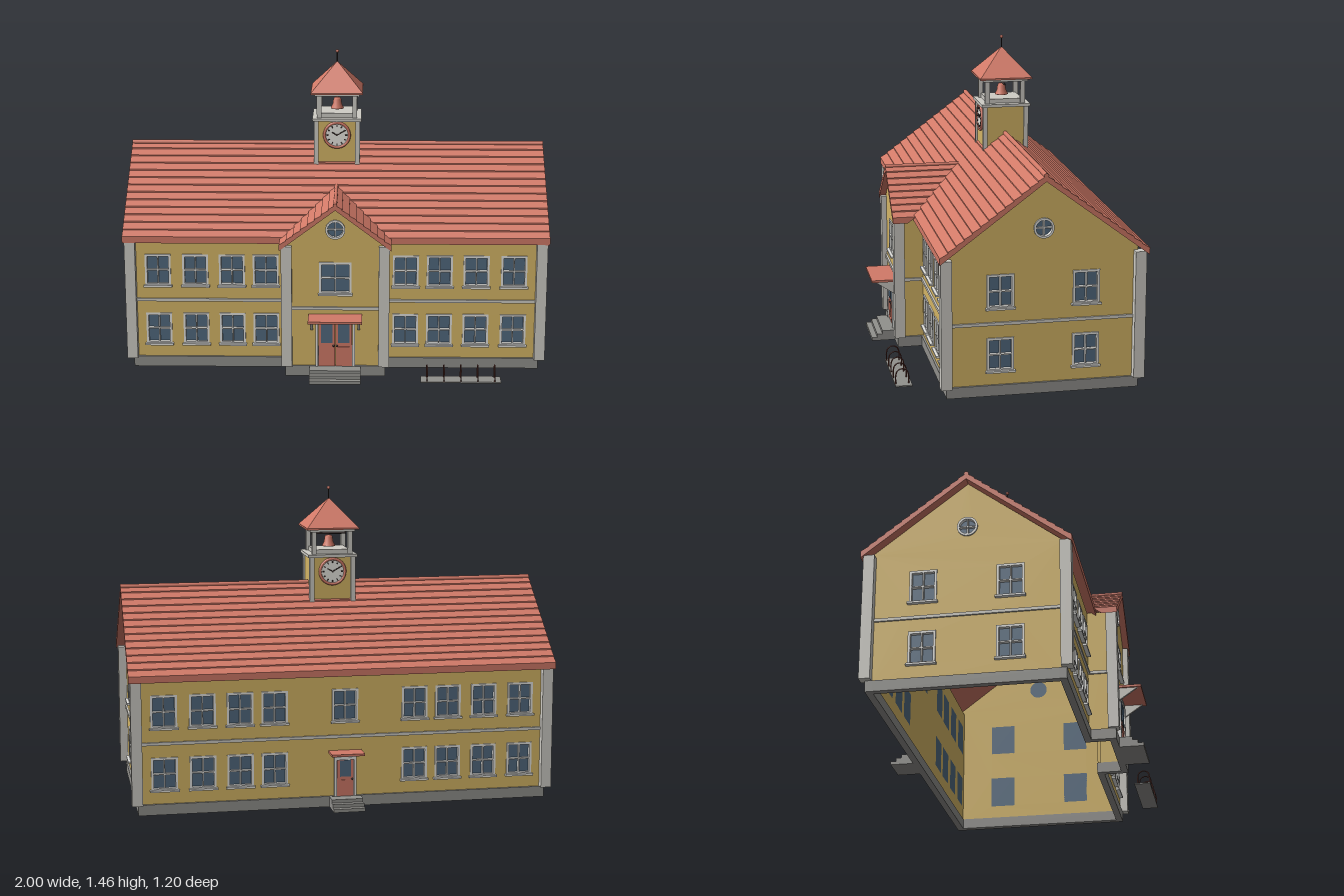
import * as THREE from 'three';

const mat = (name, color) => Object.assign(new THREE.MeshStandardMaterial({ color }), { name });

export function createModel() {
  const M = {
    wall: mat('ochre wall', 0xd6b766), roof: mat('red tile', 0xd27a68), trim: mat('pale trim', 0xcfcdc6),
    stone: mat('grey stone', 0x92918d), glass: mat('blue glass', 0x51697f), frame: mat('white frame', 0xe2e2df),
    dial: mat('clock face', 0xf2f0ea), dark: mat('dark iron', 0x3a302e), rack: mat('rack brown', 0x6a3a32),
  };
  const root = new THREE.Group();
  root.name = 'schoolhouse';
  const CZ = -0.06, SLOPE = 0.749, RIDGE = 1.0;

  const add = (parent, name, geo, m, x = 0, y = 0, z = 0) => {
    const mesh = new THREE.Mesh(geo, m);
    mesh.name = name;
    mesh.position.set(x, y, z);
    parent.add(mesh);
    return mesh;
  };
  const box = (p, name, m, w, h, d, x, y, z) => add(p, name, new THREE.BoxGeometry(w, h, d), m, x, y, z);
  const group = (p, name, x = 0, y = 0, z = 0, ry = 0) => {
    const g = new THREE.Group();
    g.name = name;
    g.position.set(x, y, z);
    g.rotation.y = ry;
    p.add(g);
    return g;
  };
  const poly = (pts) => new THREE.Shape(pts.map(([x, y]) => new THREE.Vector2(x, y)));
  const rect = (x, y, w, h) => poly([[x - w / 2, y - h / 2], [x + w / 2, y - h / 2], [x + w / 2, y + h / 2], [x - w / 2, y + h / 2]]);
  const disc = (x, y, r) => new THREE.Shape().absarc(x, y, r, 0, Math.PI * 2, false);
  const extrude = (shape, depth) => new THREE.ExtrudeGeometry(shape, { depth, bevelEnabled: false, curveSegments: 16 });
  const rod = (r, len) => new THREE.CylinderGeometry(r, r, len, 12);

  // Four-pane window with sill; local z = 0 is the wall's outer face
  function squareWindow(p, x, y, w, h) {
    const g = group(p, 'window', x, y, 0);
    const f = rect(0, 0, w, h), pw = w / 2 - 0.014, ph = h / 2 - 0.014;
    for (const sx of [-1, 1]) for (const sy of [-1, 1])
      f.holes.push(rect(sx * (pw / 2 + 0.003), sy * (ph / 2 + 0.003), pw, ph));
    add(g, 'windowFrame', extrude(f, 0.018), M.frame, 0, 0, -0.012);
    box(g, 'windowPane', M.glass, w, h, 0.008, 0, 0, -0.016);
    box(g, 'windowSill', M.frame, w + 0.012, 0.009, 0.022, 0, -h / 2, 0.008);
  }
  function roundWindow(p, x, y) {
    const g = group(p, 'roundWindow', x, y, 0);
    const ring = disc(0, 0, 0.046);
    ring.holes.push(disc(0, 0, 0.036));
    add(g, 'roundFrame', extrude(ring, 0.02), M.frame, 0, 0, -0.012);
    add(g, 'roundPane', extrude(disc(0, 0, 0.045), 0.008), M.glass, 0, 0, -0.02);
    box(g, 'roundBar', M.frame, 0.076, 0.006, 0.016, 0, 0, -0.005);
    box(g, 'roundBar', M.frame, 0.006, 0.076, 0.016, 0, 0, -0.005);
  }
  // Wall panel with window holes, floor band and stone plinth
  function facade(name, pos, ry, outline, windows = [], round = null, x0 = outline[0][0], x1 = outline[1][0]) {
    const g = group(root, name, pos[0], 0, pos[1], ry);
    const s = poly(outline);
    for (const [x, y, w, h] of windows) {
      s.holes.push(rect(x, y, w - 0.004, h - 0.004));
      squareWindow(g, x, y, w, h);
    }
    if (round) {
      s.holes.push(disc(0, round, 0.044));
      roundWindow(g, 0, round);
    }
    add(g, 'wall', extrude(s, 0.02), M.wall, 0, 0, -0.02);
    box(g, 'floorBand', M.trim, x1 - x0, 0.014, 0.012, (x0 + x1) / 2, 0.333, 0.003);
    box(g, 'plinth', M.stone, x1 - x0 + 0.02, 0.05, 0.032, (x0 + x1) / 2, 0.025, -0.006);
    return g;
  }
  const UP = 0.48, LOW = 0.19, WH = 0.155;
  const cols = [0.33, 0.49, 0.663, 0.84];
  const bays = (sign, off = 0) => cols.flatMap((x) => [[sign * x - off, UP, 0.122, WH], [sign * x - off, LOW, 0.122, WH]]);
  const W = 0.953, D = 0.425, EAVE = 0.64;

  // Main walls
  facade('frontWallLeft', [0, CZ + D], 0, [[0.215, 0.01], [W, 0.01], [W, EAVE], [0.215, EAVE]], bays(1));
  facade('frontWallRight', [0, CZ + D], 0, [[-W, 0.01], [-0.215, 0.01], [-0.215, EAVE], [-W, EAVE]], bays(-1));
  const back = facade('backWall', [0, CZ - D], Math.PI, [[-W, 0.01], [W, 0.01], [W, EAVE], [-W, EAVE]],
    [...bays(1), ...bays(-1), [0, UP, 0.122, WH]]);
  const gable = [[-D, 0.01], [D, 0.01], [D, 0.652], [0, 0.972], [-D, 0.652]];
  for (const s of [-1, 1])
    facade('gableWall', [s * W, CZ], s * Math.PI / 2, gable,
      [-0.193, 0.193].flatMap((x) => [[x, UP, 0.122, WH], [x, LOW, 0.122, WH]]), 0.757);

  // Projecting entrance bay
  const PZ = 0.48, PX = 0.225;
  const front = facade('entranceWall', [0, PZ], 0, [[-PX, 0.01], [PX, 0.01], [PX, 0.64], [0, 0.812], [-PX, 0.64]],
    [[0, UP, 0.15, WH]], 0.715);
  for (const s of [-1, 1])
    facade('entranceSide', [s * PX, 0.42], s * Math.PI / 2, [[-0.06, 0.01], [0.06, 0.01], [0.06, EAVE], [-0.06, EAVE]]);

  // Corner pilasters
  for (const s of [-1, 1])
    for (const [x, z] of [[0.967, 0.378], [0.967, -0.492], [0.227, 0.48]])
      box(root, 'cornerPilaster', M.trim, 0.05, 0.587, 0.05, s * x, 0.3435, z);

  // Stepped tile roof profile, ridge along z
  function tileProfile(half, ridge, slope, rows, thick) {
    const side = [];
    for (let i = 0; i < rows; i++) {
      const a = (half * i) / rows, b = (half * (i + 1)) / rows;
      side.push([a, ridge - a * slope], [b, ridge - b * slope + 0.006]);
    }
    side.push([half, ridge - half * slope - thick]);
    const left = side.slice(1).reverse().map(([x, y]) => [-x, y]);
    return poly([...left, ...side, [0, ridge - thick]].reverse());
  }
  const mainRoof = add(root, 'mainRoof', extrude(tileProfile(0.468, RIDGE, SLOPE, 13, 0.026), 2), M.roof, -1, 0, CZ);
  mainRoof.rotation.y = Math.PI / 2;
  const cap = add(root, 'ridgeCap', rod(0.011, 2), M.roof, 0, RIDGE, CZ);
  cap.rotation.z = Math.PI / 2;

  // Entrance roof, its rear cut to the slope of the main roof
  const porchGeo = extrude(tileProfile(0.26, 0.838, 0.75, 8, 0.024), 0.51);
  const pos = porchGeo.attributes.position;
  for (let i = 0; i < pos.count; i++)
    if (pos.getZ(i) < 0.01) pos.setZ(i, CZ + (RIDGE - pos.getY(i)) / SLOPE - 0.01);
  porchGeo.computeVertexNormals();
  add(root, 'entranceRoof', porchGeo, M.roof);
  add(root, 'entranceRidgeCap', rod(0.009, 0.36), M.roof, 0, 0.838, 0.33).rotation.x = Math.PI / 2;

  // Doors, canopies and steps
  function doorway(p, leaves, leafW, h, canopyW, canopyD, canopyY, stepW, stepD) {
    const g = group(p, 'doorway');
    const w = leaves * leafW, y0 = 0.05;
    for (const s of [-1, 1]) box(g, 'doorJamb', M.frame, 0.012, h, 0.02, s * (w / 2 + 0.006), y0 + h / 2, 0.008);
    box(g, 'doorLintel', M.frame, w + 0.024, 0.014, 0.02, 0, y0 + h, 0.008);
    for (let i = 0; i < leaves; i++) {
      const x = (i - (leaves - 1) / 2) * leafW;
      box(g, 'doorLeaf', M.roof, leafW - 0.003, h, 0.012, x, y0 + h / 2, 0.005);
      box(g, 'doorPane', M.glass, leafW * 0.66, h * 0.43, 0.006, x, y0 + h * 0.73, 0.011);
      box(g, 'doorPanel', M.roof, leafW * 0.66, h * 0.32, 0.006, x, y0 + h * 0.27, 0.011);
      add(g, 'doorKnob', new THREE.SphereGeometry(0.005, 10, 8), M.dark, x + (i ? -1 : 1) * leafW * 0.4, y0 + h * 0.45, 0.015);
    }
    box(g, 'canopy', M.roof, canopyW, 0.011, canopyD, 0, canopyY, canopyD / 2);
    for (let i = 0; i < 3; i++) {
      const d = stepD - i * 0.026;
      box(g, 'step', M.stone, stepW, 0.016, d, 0, 0.008 + i * 0.016, d / 2);
    }
    return g;
  }
  const entry = doorway(front, 2, 0.08, 0.225, 0.25, 0.118, 0.299, 0.24, 0.122);
  for (const s of [-1, 1]) {
    const b = add(entry, 'canopyBracket', extrude(poly([[0, 0.293], [0, 0.225], [0.1, 0.293]]), 0.012), M.trim, s * 0.11 - 0.006);
    b.rotation.y = -Math.PI / 2;
    b.position.x += 0.012;
  }
  doorway(back, 1, 0.08, 0.18, 0.155, 0.088, 0.261, 0.148, 0.118);

  // Clock tower
  const tower = group(root, 'clockTower', 0, 0, CZ);
  box(tower, 'towerBody', M.wall, 0.2, 0.25, 0.2, 0, 1.005, 0);
  box(tower, 'towerCornice', M.trim, 0.236, 0.014, 0.236, 0, 1.137, 0);
  box(tower, 'belfryFloor', M.trim, 0.17, 0.021, 0.17, 0, 1.154, 0);
  box(tower, 'belfryBeam', M.trim, 0.216, 0.013, 0.216, 0, 1.257, 0);
  for (const sx of [-1, 1]) for (const sz of [-1, 1]) {
    box(tower, 'towerCorner', M.trim, 0.022, 0.25, 0.022, sx * 0.099, 1.005, sz * 0.099);
    box(tower, 'belfryPost', M.trim, 0.022, 0.112, 0.022, sx * 0.086, 1.197, sz * 0.086);
  }
  const pyramid = new THREE.ConeGeometry(0.125 * Math.SQRT2, 0.135, 4).rotateY(Math.PI / 4).toNonIndexed();
  pyramid.computeVertexNormals();
  add(tower, 'towerRoof', pyramid, M.roof, 0, 1.3365, 0);
  box(tower, 'towerEave', M.roof, 0.25, 0.008, 0.25, 0, 1.266, 0);
  add(tower, 'finialRod', rod(0.003, 0.07), M.dark, 0, 1.42, 0);
  add(tower, 'finialBall', new THREE.SphereGeometry(0.008, 12, 8), M.roof, 0, 1.452, 0);
  // Bell on its crossbar
  const bell = [[0, 0.055], [0.014, 0.053], [0.019, 0.044], [0.022, 0.022], [0.032, 0.002], [0.03, 0], [0, 0.006]];
  add(tower, 'bell', new THREE.LatheGeometry(bell.map(([x, y]) => new THREE.Vector2(x, y)).reverse(), 24), M.roof, 0, 1.172, 0);
  add(tower, 'bellBar', rod(0.005, 0.17), M.dark, 0, 1.234, 0).rotation.z = Math.PI / 2;
  // Clocks front and back
  for (const s of [1, -1]) {
    const c = group(tower, 'clock', 0, 1.062, s * 0.1, s > 0 ? 0 : Math.PI);
    add(c, 'clockFace', extrude(disc(0, 0, 0.06), 0.008), M.dial);
    add(c, 'clockRim', new THREE.TorusGeometry(0.06, 0.007, 8, 32), M.roof, 0, 0, 0.006);
    const bar = (name, a, w, r0, r1) => {
      const r = (r0 + r1) / 2;
      box(c, name, M.dark, w, r1 - r0, 0.004, Math.sin(a) * r, Math.cos(a) * r, 0.01).rotation.z = -a;
    };
    for (let i = 0; i < 12; i++) bar('hourMark', (i * Math.PI) / 6, 0.005, 0.04, 0.05);
    bar('hourHand', -Math.PI / 3, 0.006, -0.004, 0.028);
    bar('minuteHand', Math.PI / 3, 0.005, -0.004, 0.04);
  }

  // Bicycle rack
  const rack = group(root, 'bicycleRack', 0.588, 0, 0.537);
  box(rack, 'rackSlab', M.stone, 0.375, 0.006, 0.077, 0, 0.003, 0);
  const hoop = new THREE.CurvePath();
  const arc = [[-0.029, 0.004], [-0.029, 0.045], [-0.021, 0.067], [0, 0.076], [0.021, 0.067], [0.029, 0.045], [0.029, 0.004]];
  const path = new THREE.CatmullRomCurve3(arc.map(([z, y]) => new THREE.Vector3(0, y, z)));
  for (let i = -2; i <= 2; i++) add(rack, 'rackHoop', new THREE.TubeGeometry(path, 28, 0.003, 8), M.rack, i * 0.079, 0, 0.005);
  return root;
}
